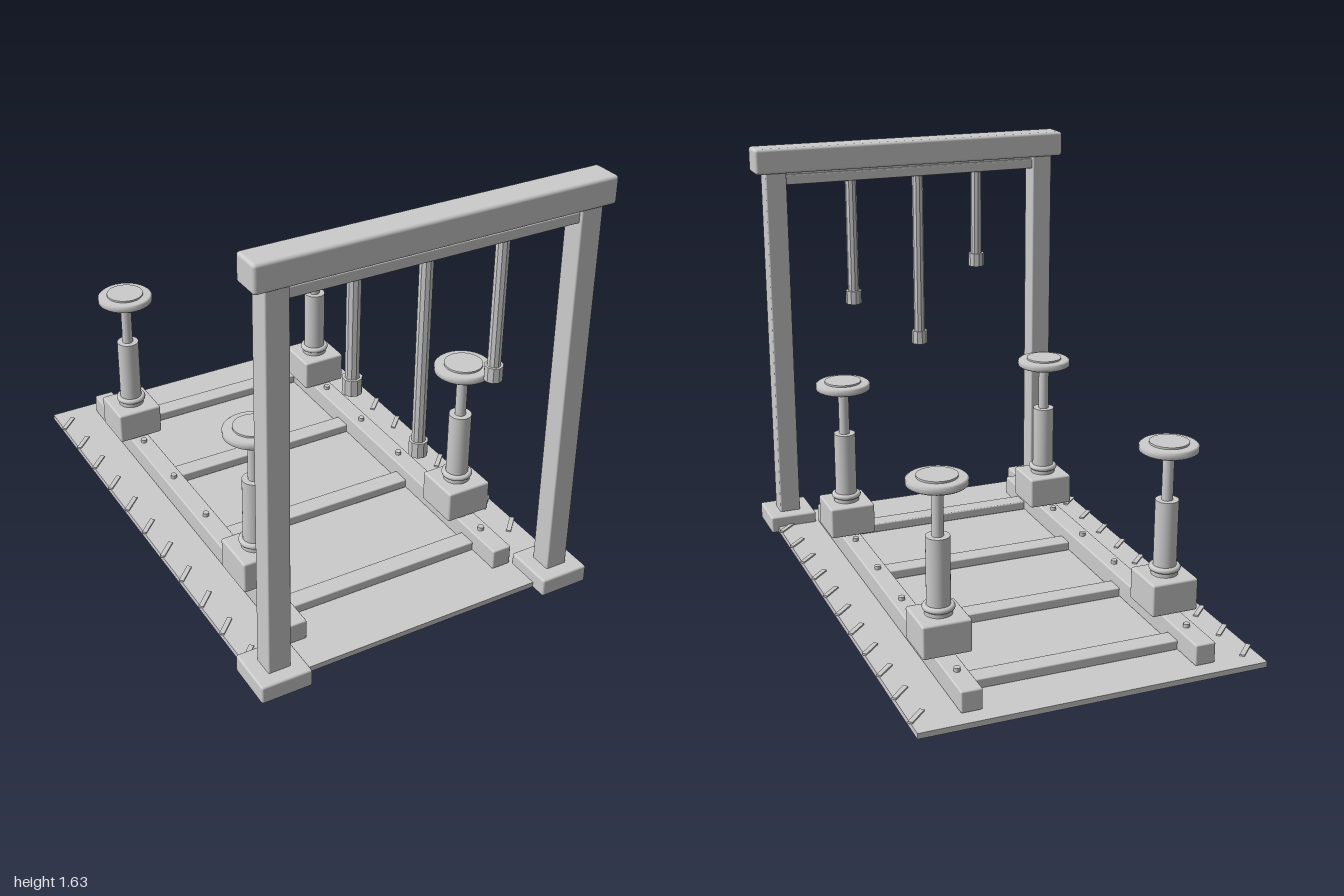
import * as THREE from 'three';
import { RoundedBoxGeometry } from 'three/addons/geometries/RoundedBoxGeometry.js';

export function createModel() {
  const model = new THREE.Group();
  const steel = new THREE.MeshStandardMaterial({ color: 0xcccccc });
  steel.name = 'plain steel';

  const add = (parent, name, geometry, x, y, z) => {
    const mesh = new THREE.Mesh(geometry, steel);
    mesh.name = name;
    mesh.position.set(x, y, z);
    parent.add(mesh);
    return mesh;
  };
  // Box given by its lower and upper limits, with an optional edge radius
  const box = (parent, name, [x0, x1], [y0, y1], [z0, z1], r = 0) => {
    const s = [x1 - x0, y1 - y0, z1 - z0];
    const g = r ? new RoundedBoxGeometry(...s, 2, r) : new THREE.BoxGeometry(...s);
    return add(parent, name, g, (x0 + x1) / 2, (y0 + y1) / 2, (z0 + z1) / 2);
  };
  // Upright cylinder from y0 to y1
  const cyl = (parent, name, r, y0, y1, x, z, sides = 32) =>
    add(parent, name, new THREE.CylinderGeometry(r, r, y1 - y0, sides), x, (y0 + y1) / 2, z);
  const group = (name) => {
    const g = new THREE.Group();
    g.name = name;
    model.add(g);
    return g;
  };

  // Floor plate with slanted edge stripes
  const floor = group('floor');
  box(floor, 'floorPlate', [-0.65, 0.65], [0.004, 0.025], [-1, 0.94]);
  for (const side of [-1, 1]) {
    for (let i = 0; i < 11; i++) {
      const z = -0.9 + i * 0.168;
      const stripe = add(floor, 'edgeStripe', new THREE.BoxGeometry(0.09, 0.008, 0.018), side * 0.62, 0.027, z);
      stripe.rotation.y = Math.PI / 4;
    }
  }

  // Ladder frame: two rails, four rungs, bolts
  const frame = group('ladderFrame');
  for (const side of [-1, 1]) {
    const x = side * 0.437;
    box(frame, 'rail', [x - 0.039, x + 0.039], [0.025, 0.105], [-0.937, 0.805], 0.006);
    for (let i = 0; i < 6; i++) cyl(frame, 'bolt', 0.012, 0.1, 0.119, x, -0.795 + i * 0.292, 12);
  }
  for (const z of [-0.767, -0.302, 0.165, 0.635])
    box(frame, 'rung', [-0.4, 0.4], [0.025, 0.062], [z - 0.037, z + 0.037], 0.005);

  // Four jacks standing on the rails
  for (const x of [-0.437, 0.437]) {
    for (const z of [-0.617, 0.49]) {
      const jack = group('jack');
      jack.position.set(x, 0, z);
      box(jack, 'jackBase', [-0.091, 0.091], [0.115, 0.24], [-0.091, 0.091], 0.008);
      cyl(jack, 'baseMount', 0.035, 0.1, 0.118, 0, 0);
      cyl(jack, 'collar', 0.05, 0.238, 0.258, 0, 0);
      const ring = add(jack, 'collarRing', new THREE.TorusGeometry(0.048, 0.011, 10, 32), 0, 0.266, 0);
      ring.rotation.x = Math.PI / 2;
      cyl(jack, 'jackSleeve', 0.043, 0.255, 0.528, 0, 0);
      cyl(jack, 'jackRod', 0.021, 0.52, 0.715, 0, 0);
      // Dish with softened rims
      const profile = [[0, 0.712], [0.1, 0.712], [0.108, 0.718], [0.108, 0.737], [0.1, 0.743], [0, 0.743]]
        .map(([r, y]) => new THREE.Vector2(r, y));
      add(jack, 'liftPad', new THREE.LatheGeometry(profile, 36), 0, 0, 0);
      cyl(jack, 'padTop', 0.072, 0.74, 0.75, 0, 0);
    }
  }

  // Gantry at the front
  const gantry = group('gantry');
  for (const side of [-1, 1]) {
    const x = side * 0.582;
    box(gantry, 'gantryFoot', [x - 0.097, x + 0.097], [0, 0.07], [0.806, 1], 0.008);
    box(gantry, 'gantryPost', [x - 0.043, x + 0.043], [0.06, 1.535], [0.86, 0.946], 0.006);
  }
  box(gantry, 'topBeam', [-0.668, 0.668], [1.526, 1.628], [0.845, 0.96], 0.012);
  box(gantry, 'hangerBar', [-0.545, 0.545], [1.475, 1.515], [0.872, 0.934], 0.004);
  box(gantry, 'hangerBarMount', [-0.545, 0.545], [1.51, 1.53], [0.88, 0.926]);

  // Hanging lines with end fittings
  const faceted = (r, h) => new THREE.CylinderGeometry(r, r, h, 10).toNonIndexed();
  for (const [x, bottom] of [[-0.294, 1.065], [-0.031, 0.745], [0.26, 0.95]]) {
    const flat = (name, r, y0, y1) => {
      const g = faceted(r, y1 - y0);
      g.computeVertexNormals();
      add(gantry, name, g, x, (y0 + y1) / 2, 0.903);
    };
    flat('hangingLine', 0.024, bottom + 0.04, 1.48);
    flat('endFitting', 0.033, bottom, bottom + 0.056);
  }

  return model;
}
